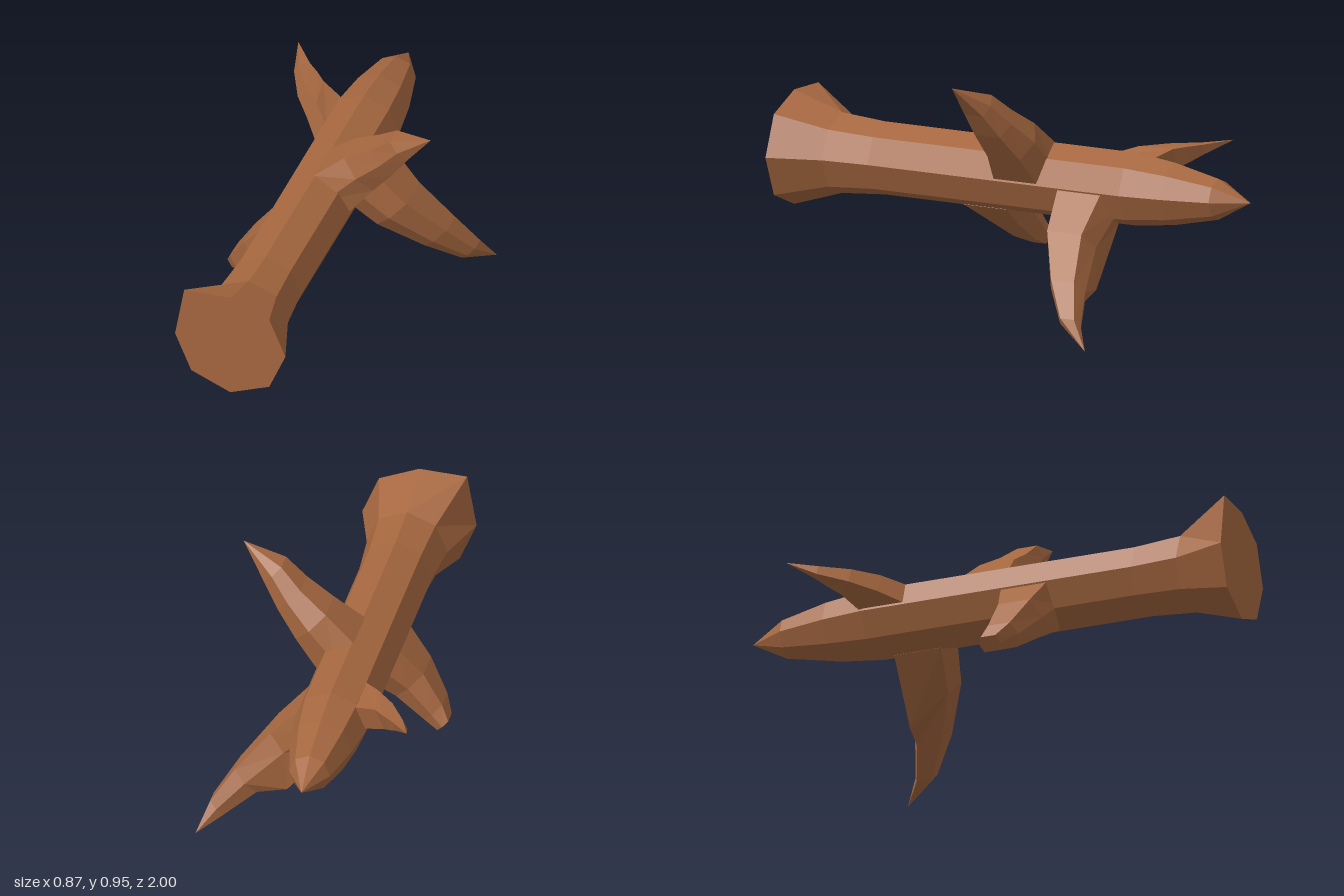
import * as THREE from 'three';

const V = (x, y, z) => new THREE.Vector3(x, y, z);
const bark = new THREE.MeshStandardMaterial({ color: 0xa5673f, flatShading: true });

// Skin a list of equal-sized point rings and close both ends
function loft(name, rings) {
  const pos = [];
  const tri = (...pts) => pts.forEach(p => pos.push(p.x, p.y, p.z));
  const n = rings[0].length;
  const middle = ring => ring.reduce((s, p) => s.add(p), V(0, 0, 0)).divideScalar(n);
  const first = rings[0], last = rings[rings.length - 1];
  const c0 = middle(first), c1 = middle(last);
  for (let j = 0; j < n; j++) {
    const k = (j + 1) % n;
    for (let i = 0; i < rings.length - 1; i++) {
      const a = rings[i], b = rings[i + 1];
      tri(a[j], a[k], b[k]);
      if (b[j].distanceTo(b[k]) > 1e-6) tri(a[j], b[k], b[j]);
    }
    tri(c0, first[k], first[j]);
    if (last[j].distanceTo(last[k]) > 1e-6) tri(c1, last[j], last[k]);
  }
  const geo = new THREE.BufferGeometry();
  geo.setAttribute('position', new THREE.Float32BufferAttribute(pos, 3));
  geo.computeVertexNormals();
  const mesh = new THREE.Mesh(geo, bark);
  mesh.name = name;
  return mesh;
}

// Six-sided branch section: [x, y, z, half width, half depth, depth at the middle, lean in x]
function branchRings(dx, dy, sections) {
  const l = Math.hypot(dx, dy);
  const u = V(-dy / l, dx / l, 0);
  return sections.map(([x, y, z, a = 0, h = 0, w = h, lean = 0]) =>
    [[a, -1, h], [a, 1, h], [0, 1, w], [-a, 1, h], [-a, -1, h], [0, -1, w]].map(([s, side, d]) =>
      V(x + side * lean, y, z + side * d).addScaledVector(u, s)));
}

export function createModel() {
  const group = new THREE.Group();
  group.name = 'branchedLog';

  // Trunk: flared octagonal base tapering to a point at the back
  const trunk = [[1, 0.224], [0.79, 0.158], [0.6, 0.143], [-0.5, 0.143],
    [-0.67, 0.122], [-0.86, 0.08], [-1, 0]].map(([z, r]) =>
    Array.from({ length: 8 }, (_, k) => {
      const t = k * Math.PI / 4;
      return V(-0.083 + r * Math.sin(t), 0.53 + r * Math.cos(t), z);
    }));
  trunk[0][7].set(-0.27, 0.745, 1); // knob on the flared rim
  group.add(loft('trunk', trunk));

  // Upper left branch
  group.add(loft('upperLeftBranch', branchRings(0.72, 0.69, [
    [-0.02, 0.6, -0.045, 0.1, 0.095, 0.125],
    [0.085, 0.705, -0.045, 0.085, 0.07, 0.105],
    [0.18, 0.79, -0.02, 0.065, 0.055, 0.08],
    [0.253, 0.87, 0.005, 0.05, 0.04, 0.057],
    [0.385, 0.955, 0.045],
  ])));

  // Lower left branch, with a bulge on its underside
  const lower = branchRings(0.72, -0.69, [
    [-0.02, 0.46, -0.325, 0.1, 0.095, 0.135],
    [0.118, 0.33, -0.33, 0.085, 0.075, 0.105],
    [0.263, 0.19, -0.395, 0.062, 0.05, 0.075],
    [0.365, 0.083, -0.463, 0.038, 0.03, 0.045],
    [0.433, 0.002, -0.565],
  ]);
  lower[1][4].set(0.105, 0.165, -0.43);
  group.add(loft('lowerLeftBranch', lower));

  // Lower right branch, a blunt stump
  group.add(loft('lowerRightStump', branchRings(-0.72, -0.69, [
    [-0.147, 0.46, 0.16, 0.1, 0.095, 0.125],
    [-0.255, 0.365, 0.155, 0.078, 0.065, 0.095],
    [-0.35, 0.263, 0.122, 0.051, 0.045, 0.067],
    [-0.392, 0.22, 0.088, 0.031, 0.03, 0.042],
  ])));

  // Upper right twig, curving back
  group.add(loft('upperRightTwig', branchRings(-0.9, 0.4, [
    [-0.19, 0.58, -0.415, 0.05, 0.095],
    [-0.275, 0.615, -0.485, 0.045, 0.07, 0.07, 0.01],
    [-0.33, 0.63, -0.55, 0.035, 0.045, 0.045, -0.01],
    [-0.38, 0.645, -0.625, 0.022, 0.01, 0.01, -0.02],
    [-0.433, 0.68, -0.73],
  ])));

  return group;
}
